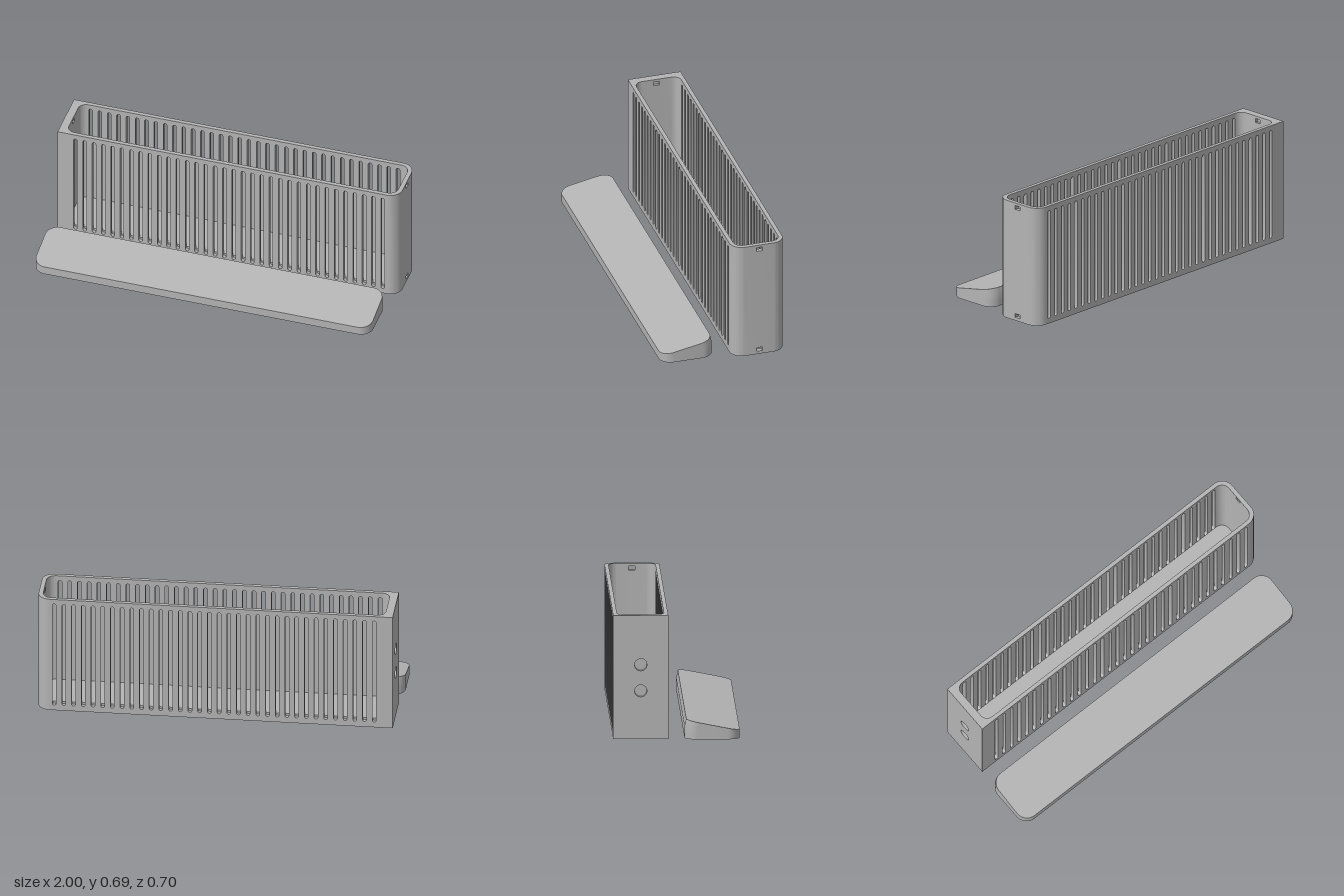
import * as THREE from 'three';
import { toCreasedNormals } from 'three/addons/utils/BufferGeometryUtils.js';

const grey = new THREE.MeshStandardMaterial({ color: 0xb4b4b4 });
grey.name = 'grey';

const H = 0.692;          // box height
const ZC = -0.1975;       // box centre line in z
const OUT = 0.1525;       // half depth outside
const IN = 0.13;          // half depth of the cavity
const NOTCH = 0.0175;     // half width of the end pockets

const crease = (geo) => toCreasedNormals(geo, 0.5);

function add(parent, name, geo, x = 0, y = 0, z = 0) {
  const mesh = new THREE.Mesh(geo, grey);
  mesh.name = name;
  mesh.position.set(x, y, z);
  parent.add(mesh);
  return mesh;
}

// Upright prism from a plan shape (shape y becomes -z)
function prism(shape, height, steps = 1) {
  return new THREE.ExtrudeGeometry(shape, { depth: height, steps, bevelEnabled: false, curveSegments: 16 })
    .rotateX(-Math.PI / 2);
}

function roundedRect(x0, x1, half, r) {
  const s = new THREE.Shape();
  s.absarc(x1 - r, half - r, r, 0, Math.PI / 2);
  s.absarc(x0 + r, half - r, r, Math.PI / 2, Math.PI);
  s.absarc(x0 + r, -half + r, r, Math.PI, Math.PI * 1.5);
  s.absarc(x1 - r, -half + r, r, Math.PI * 1.5, Math.PI * 2);
  s.closePath();
  return s;
}

function circleHole(shape, x, y, r = 0.034) {
  shape.holes.push(new THREE.Path().absarc(x, y, r, 0, Math.PI * 2, true));
}

// Three pairs of round sockets along the underside
function socketHoles(shape, cx) {
  for (const dx of [-0.79, 0, 0.79]) for (const dz of [-0.076, 0.076]) circleHole(shape, cx + dx, dz);
}

function arc(cx, cy, r, a0, a1, n = 12) {
  const pts = [];
  for (let i = 0; i <= n; i++) {
    const a = a0 + (a1 - a0) * i / n;
    pts.push([cx + r * Math.cos(a), cy + r * Math.sin(a)]);
  }
  return pts;
}

// Slotted long wall
function slottedWall() {
  const x0 = -0.89, x1 = 0.925, r = 0.0105, bottom = 0.032, top = 0.664, count = 34;
  const s = new THREE.Shape();
  s.moveTo(x0, 0).lineTo(x1, 0).lineTo(x1, H).lineTo(x0, H).closePath();
  for (let i = 0; i < count; i++) {
    const x = -0.877 + 1.783 * i / (count - 1);
    const slot = new THREE.Path();
    slot.absarc(x, top - r, r, 0, Math.PI);
    slot.absarc(x, bottom + r, r, Math.PI, Math.PI * 2);
    slot.closePath();
    s.holes.push(slot);
  }
  return crease(new THREE.ExtrudeGeometry(s, { depth: OUT - IN, bevelEnabled: false, curveSegments: 6 }));
}

function buildBox() {
  const box = new THREE.Group();
  box.name = 'slottedBox';
  box.position.z = ZC;

  const wall = slottedWall();
  add(box, 'frontWall', wall, 0, 0, IN);
  add(box, 'backWall', wall, 0, 0, -OUT);

  // Rounded end and inner corners of the square end, one half per side
  const q = Math.PI / 2;
  const roundEnd = [[0.925, OUT], ...arc(0.93, OUT - 0.07, 0.07, q, 0), [1, NOTCH], [0.975, NOTCH],
    ...arc(0.925, IN - 0.05, 0.05, 0, q)];
  const squareEnd = [[-0.95, OUT], [-0.89, OUT], ...arc(-0.89, IN - 0.045, 0.045, q, 2 * q),
    [-0.935, NOTCH], [-0.95, NOTCH]];
  for (const side of [1, -1]) {
    for (const [name, pts] of [['roundedEnd', roundEnd], ['squareEndLining', squareEnd]]) {
      const shape = new THREE.Shape(pts.map(([x, u]) => new THREE.Vector2(x, side * u)));
      add(box, name, crease(prism(shape, H)));
    }
  }

  // Fill between the halves, leaving the small rectangular pockets open
  for (const [y0, y1] of [[0, 0.018], [0.04, 0.654], [0.677, H]]) {
    for (const [x0, x1] of [[0.975, 1], [-0.95, -0.935]]) {
      add(box, 'endFill', new THREE.BoxGeometry(x1 - x0, y1 - y0, NOTCH * 2), (x0 + x1) / 2, (y0 + y1) / 2, 0);
    }
  }

  // Square end plate with two sockets
  const plate = new THREE.Shape();
  plate.moveTo(-OUT, 0).lineTo(OUT, 0).lineTo(OUT, H).lineTo(-OUT, H).closePath();
  for (const y of [0.27, 0.416]) circleHole(plate, 0, y);
  add(box, 'squareEndPlate', crease(new THREE.ExtrudeGeometry(plate,
    { depth: 0.03, bevelEnabled: false, curveSegments: 16 }).rotateY(-q)), -0.95);

  // Floor with blind sockets below
  const floor = roundedRect(-0.935, 0.975, IN, 0.048);
  add(box, 'floor', crease(prism(floor, 0.01)), 0, 0.035, 0);
  const under = roundedRect(-0.935, 0.975, IN, 0.048);
  socketHoles(under, 0.01);
  add(box, 'floorUnderside', crease(prism(under, 0.035)));
  return box;
}

function buildTray() {
  const tray = new THREE.Group();
  tray.name = 'slopedLid';
  tray.position.z = 0.1985;
  const half = 0.1525, foot = 0.035;

  const base = roundedRect(-1, 0.953, half, 0.07);
  socketHoles(base, -0.024);
  add(tray, 'lidBase', crease(prism(base, foot)));

  // Wedge: rings follow the slope, the last one leans forward at the back
  const geo = prism(roundedRect(-1, 0.953, half, 0.07), 2, 2);
  const p = geo.attributes.position;
  for (let i = 0; i < p.count; i++) {
    const level = Math.round(p.getY(i));
    const back = (half - p.getZ(i)) / (2 * half);
    if (level === 0) p.setY(i, foot);
    if (level === 1) p.setY(i, 0.04 + 0.024 * back);
    if (level === 2) {
      p.setY(i, 0.049 + 0.058 * back);
      p.setZ(i, p.getZ(i) + 0.009 * back);
    }
  }
  add(tray, 'lidWedge', crease(geo));
  return tray;
}

export function createModel() {
  const model = new THREE.Group();
  model.name = 'slottedBoxWithLid';
  model.add(buildBox(), buildTray());
  return model;
}
